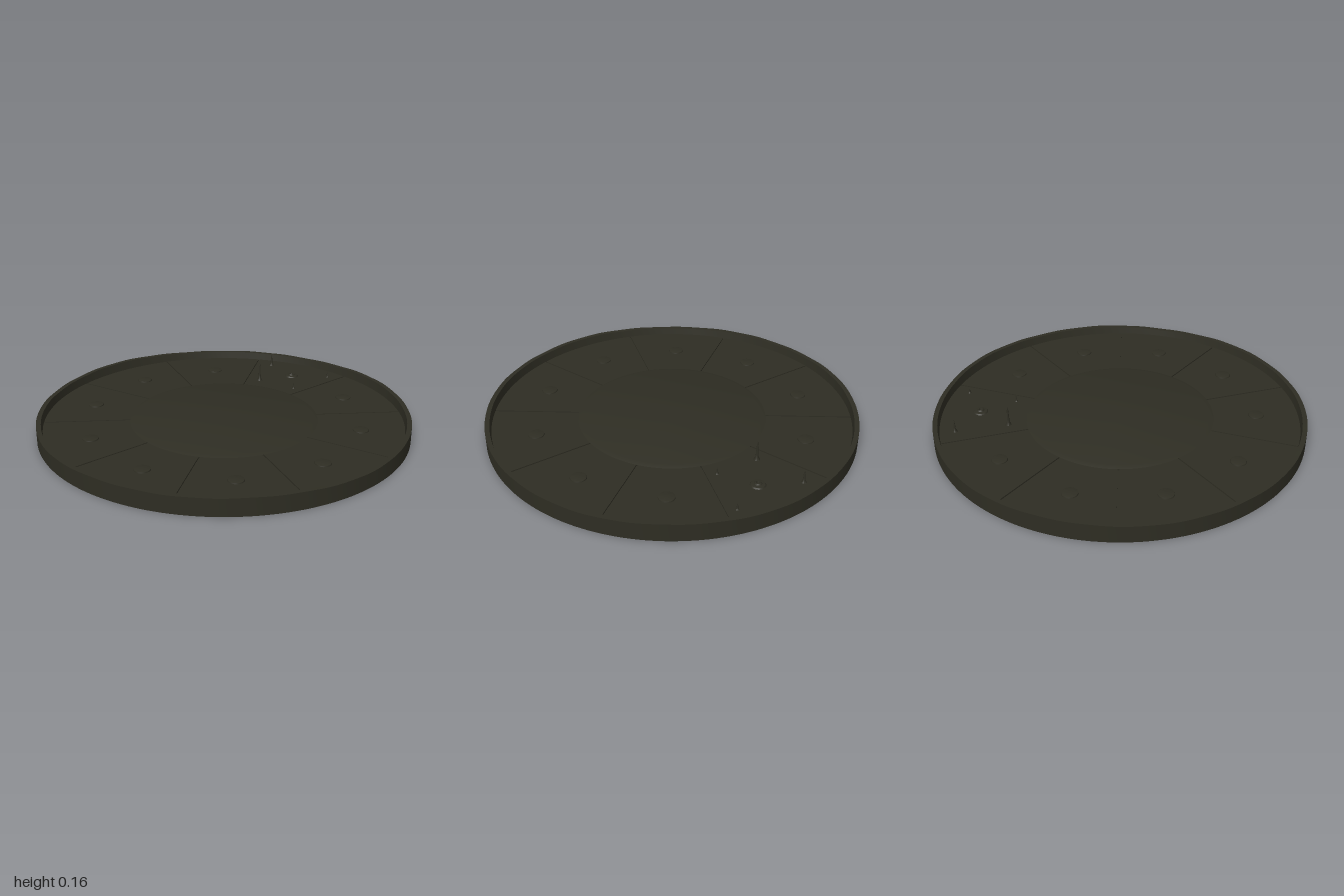
import * as THREE from 'three';
import { toCreasedNormals } from 'three/addons/utils/BufferGeometryUtils.js';

const BED = 0.038, FLOOR = 0.045;

export function createModel() {
  const model = new THREE.Group();
  const olive = new THREE.MeshStandardMaterial({ color: 0x2e2d23 });
  olive.name = 'dark olive';

  const add = (name, geometry, parent = model) => {
    const mesh = new THREE.Mesh(geometry, olive);
    mesh.name = name;
    parent.add(mesh);
    return mesh;
  };
  const lathe = (points, segments) => toCreasedNormals(
    new THREE.LatheGeometry(points.map(([r, y]) => new THREE.Vector2(r, y)), segments), 0.5);

  // Tray body with a thin, unevenly worn rim
  const body = new THREE.LatheGeometry(
    [[0, 0], [1, 0], [1, 0.09], [0.975, 0.09], [0.967, BED], [0, BED]]
      .map(([r, y]) => new THREE.Vector2(r, y)), 160);
  const p = body.attributes.position;
  for (let i = 0; i < p.count; i++) {
    if (p.getY(i) < 0.08) continue;
    const a = Math.atan2(p.getZ(i), p.getX(i));
    p.setY(i, 0.088 + 0.005 * Math.sin(3 * a + 0.4) + 0.002 * Math.sin(7 * a) + 0.001 * Math.sin(24 * a));
  }
  add('trayBody', toCreasedNormals(body, 0.5));

  // Raised round centre plate with a chamfered edge
  add('centrePlate', lathe([[0.508, BED], [0.508, FLOOR], [0.482, 0.053], [0, 0.053]], 96));

  // Ten floor panels, separated by narrow radial grooves
  const panels = new THREE.Group();
  panels.name = 'floorPanels';
  model.add(panels);
  const shape = new THREE.Shape();
  const inner = 0.507, outer = 0.969, halfGap = 0.004, steps = 16;
  const arc = (r, from, to) => {
    const half = Math.PI / 10 - halfGap / r;
    return Array.from({ length: steps + 1 }, (_, i) => {
      const a = half * (from + (to - from) * i / steps);
      return new THREE.Vector2(r * Math.cos(a), r * Math.sin(a));
    });
  };
  shape.setFromPoints([...arc(outer, -1, 1), ...arc(inner, 1, -1)]);
  const panel = new THREE.ExtrudeGeometry(shape, { depth: FLOOR - BED, bevelEnabled: false });
  panel.rotateX(-Math.PI / 2).translate(0, BED, 0);

  // A low round stud on each panel, except the one with the crater
  const stud = lathe([[0.043, FLOOR - 0.002], [0.041, 0.05], [0.034, 0.052], [0, 0.052]], 24);
  for (let i = 0; i < 10; i++) {
    const a = Math.PI / 2 + i * Math.PI / 5;
    add('floorPanel', panel, panels).rotation.y = a;
    if (i === 8) continue;
    add('stud', stud, panels).position.set(0.74 * Math.cos(a), 0, -0.74 * Math.sin(a));
  }

  // Small crater with a hollow mouth
  const crater = add('crater', lathe(
    [[0.042, FLOOR - 0.002], [0.036, 0.051], [0.02, 0.054], [0.016, 0.06], [0.011, 0.06], [0.008, 0.048], [0, 0.048]], 20));
  crater.position.set(0.73, 0, -0.22);

  // Slender spikes with flared feet: x, z, tip height, foot radius
  for (const [x, z, tip, r] of [
    [0.53, -0.29, 0.16, 0.018], [0.77, -0.44, 0.115, 0.016],
    [0.59, -0.06, 0.083, 0.012], [0.88, -0.06, 0.08, 0.012]]) {
    const h = tip - FLOOR;
    const spike = add('spike', lathe(
      [[r, -0.002], [r * 0.5, h * 0.13], [r * 0.36, h * 0.3], [r * 0.24, h * 0.75], [0, h]], 10));
    spike.position.set(x, FLOOR, z);
  }
  return model;
}
